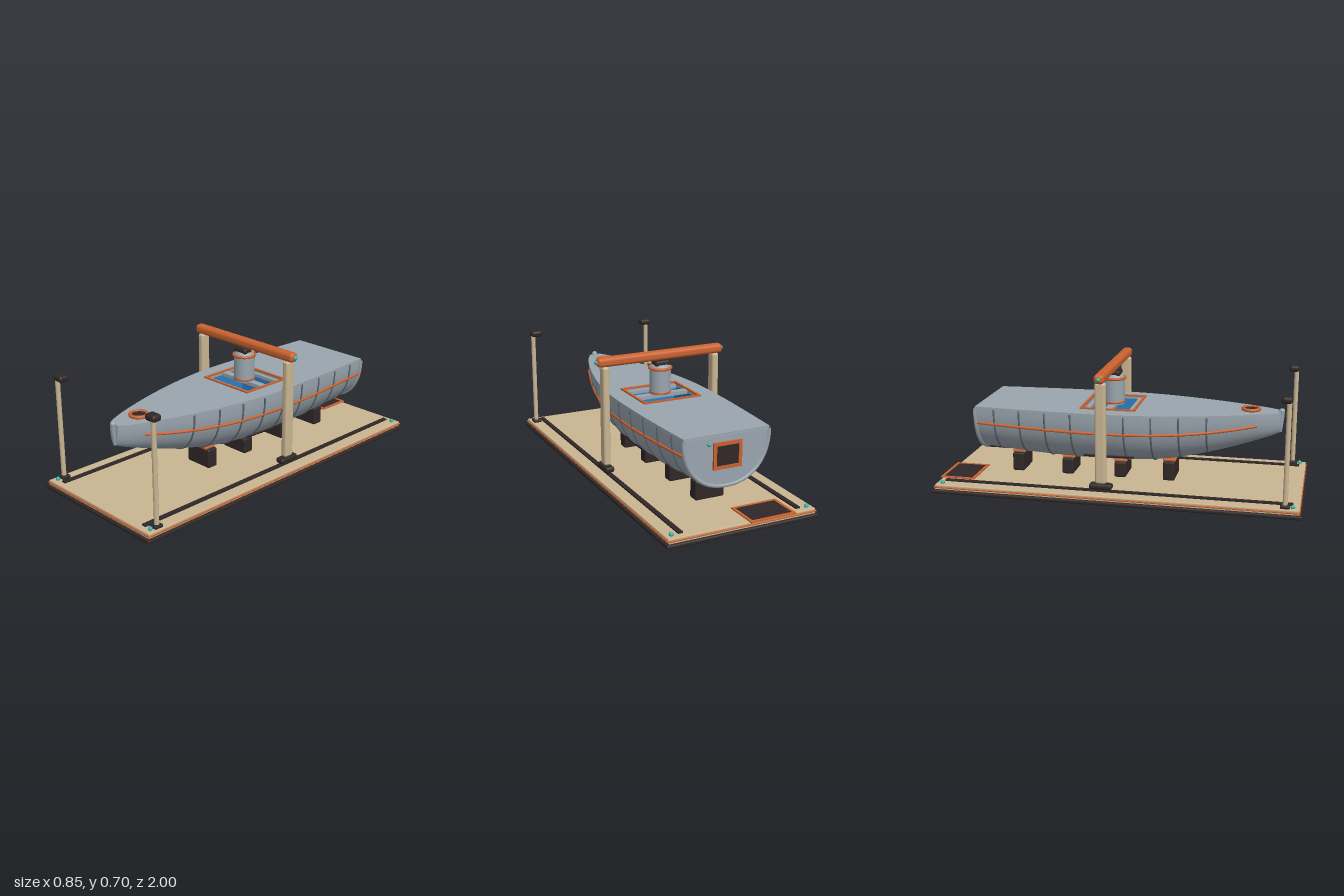
import * as THREE from 'three';
import { RoundedBoxGeometry } from 'three/addons/geometries/RoundedBoxGeometry.js';

const mat = (name, color, side = THREE.FrontSide) => {
  const m = new THREE.MeshStandardMaterial({ color, side });
  m.name = name;
  return m;
};

export function createModel() {
  const root = new THREE.Group();
  root.name = 'shipInDryDock';
  const grey = mat('hullGrey', 0x9aa5ae), slate = mat('ribSlate', 0x5c656d);
  const orange = mat('orange', 0xc9622f), beige = mat('beige', 0xc9b592);
  const dark = mat('charcoal', 0x302827), teal = mat('teal', 0x2fb3a6);
  const blue = mat('interiorBlue', 0x2f7fc0, THREE.DoubleSide);

  const add = (name, geo, m, x = 0, y = 0, z = 0) => {
    const mesh = new THREE.Mesh(geo, m);
    mesh.name = name;
    mesh.position.set(x, y, z);
    root.add(mesh);
    return mesh;
  };
  const box = (name, m, w, h, d, x, y, z) => add(name, new THREE.BoxGeometry(w, h, d), m, x, y, z);
  const rbox = (name, m, w, h, d, r, x, y, z) => add(name, new RoundedBoxGeometry(w, h, d, 3, r), m, x, y, z);
  const cyl = (name, m, r0, r1, h, x, y, z) => add(name, new THREE.CylinderGeometry(r1, r0, h, 32), m, x, y, z);
  const ball = (name, r, x, y, z, m = teal) => add(name, new THREE.SphereGeometry(r, 16, 12), m, x, y, z);
  const tube = (name, m, pts, r) => add(name, new THREE.TubeGeometry(new THREE.CatmullRomCurve3(pts), 48, r, 8), m);
  const rectPath = (p, w, d, cx = 0, cy = 0) => p.moveTo(cx - w / 2, cy - d / 2).lineTo(cx + w / 2, cy - d / 2)
    .lineTo(cx + w / 2, cy + d / 2).lineTo(cx - w / 2, cy + d / 2).closePath();
  // Flat rectangular frame lying on the ground plane, bottom at y
  const frame = (name, m, w, d, bar, h, x, y, z) => {
    const s = rectPath(new THREE.Shape(), w, d);
    s.holes.push(rectPath(new THREE.Path(), w - 2 * bar, d - 2 * bar));
    const geo = new THREE.ExtrudeGeometry(s, { depth: h, bevelEnabled: false }).rotateX(-Math.PI / 2);
    return add(name, geo, m, x, y, z);
  };

  // Dock base in layers
  rbox('baseSlab', dark, 0.85, 0.022, 2, 0.008, 0, 0.011, 0);
  box('baseLower', beige, 0.82, 0.01, 1.97, 0, 0.026, 0);
  rbox('baseStripe', orange, 0.835, 0.009, 1.98, 0.004, 0, 0.034, 0);
  rbox('baseTop', beige, 0.825, 0.012, 1.97, 0.004, 0, 0.042, 0);
  box('floorHatchPanel', dark, 0.23, 0.006, 0.17, -0.16, 0.05, -0.9);
  frame('floorHatchFrame', orange, 0.26, 0.195, 0.016, 0.007, -0.16, 0.047, -0.9);

  // Hull shape: half width and keel height along z
  const top = 0.445, stern = -0.8, bow = 0.85;
  const stations = [
    [-0.8, 0.24, 0.18], [-0.6, 0.252, 0.163], [-0.3, 0.264, 0.148], [0, 0.262, 0.147],
    [0.18, 0.242, 0.156], [0.33, 0.213, 0.18], [0.47, 0.178, 0.213], [0.6, 0.138, 0.25],
    [0.73, 0.092, 0.293], [0.81, 0.055, 0.322], [0.85, 0.03, 0.34],
  ];
  const spline = new THREE.CubicInterpolant(stations.map(s => s[0]), stations.flatMap(s => [s[1], s[2]]), 2, [0, 0]);
  const sectionAt = z => Array.from(spline.evaluate(z));
  const hullPoint = (z, a, grow = 0) => {
    const [w, k] = sectionAt(z), c = Math.cos(a), s = Math.max(0, Math.sin(a));
    return new THREE.Vector3(
      Math.sign(c) * (w + grow) * Math.abs(c) ** 0.9, top - (top - k + grow) * s ** 0.9, z);
  };
  const sideX = (z, y) => {
    const [w, k] = sectionAt(z), s = ((top - y) / (top - k)) ** (1 / 0.9);
    return w * (1 - s * s) ** 0.45;
  };

  // Hull skin
  const rows = 44, cols = 40, pos = [], index = [];
  for (let i = 0; i <= rows; i++)
    for (let j = 0; j <= cols; j++)
      pos.push(...hullPoint(stern + (bow - stern) * i / rows, Math.PI * j / cols).toArray());
  for (let i = 0; i < rows; i++)
    for (let j = 0; j < cols; j++) {
      const p = i * (cols + 1) + j, q = p + cols + 1;
      index.push(p, q, p + 1, q, q + 1, p + 1);
    }
  const skin = new THREE.BufferGeometry();
  skin.setAttribute('position', new THREE.Float32BufferAttribute(pos, 3));
  skin.setIndex(index);
  skin.computeVertexNormals();
  add('hull', skin, grey);

  // Transom and blunt bow cap
  const arc = (z, n = 40, grow = 0) => Array.from({ length: n + 1 }, (_, j) => hullPoint(z, Math.PI * j / n, grow));
  const endCap = z => new THREE.ExtrudeGeometry(
    new THREE.Shape(arc(z).map(p => new THREE.Vector2(p.x, p.y))), { depth: 0.006, bevelEnabled: false });
  add('transom', endCap(stern), grey, 0, 0, stern - 0.004);
  add('bowCap', endCap(bow), grey, 0, 0, bow - 0.003);
  tube('transomRim', grey, arc(stern), 0.011);

  // Deck with the engine well cut out
  const wellZ = -0.072, wellW = 0.316, wellD = 0.28;
  const outline = [];
  for (let i = 0; i <= 40; i++) {
    const z = stern + (bow - stern) * i / 40;
    outline.push(new THREE.Vector2(sectionAt(z)[0] + 0.001, -z));
  }
  const deckShape = new THREE.Shape([...outline, ...outline.slice().reverse().map(p => new THREE.Vector2(-p.x, p.y))]);
  deckShape.holes.push(rectPath(new THREE.Path(), wellW, wellD, 0, -wellZ));
  add('deck', new THREE.ExtrudeGeometry(deckShape, { depth: 0.014, bevelEnabled: false }).rotateX(-Math.PI / 2), grey, 0, 0.441, 0);

  // Engine well
  for (const s of [-1, 1]) {
    box('wellSideWall', blue, 0.004, 0.19, wellD, s * wellW / 2, 0.347, wellZ);
    box('wellEndWall', blue, wellW, 0.19, 0.004, 0, 0.347, wellZ + s * wellD / 2);
    box('wellCrossBar', grey, wellW, 0.018, 0.022, 0, 0.44, wellZ + s * 0.122);
  }
  box('wellFloor', grey, wellW, 0.008, wellD, 0, 0.252, wellZ);
  box('wellFloorPanel', dark, 0.22, 0.008, 0.18, 0, 0.258, wellZ);
  frame('wellFloorFrame', orange, 0.245, 0.205, 0.014, 0.014, 0, 0.254, wellZ);
  frame('wellCoaming', orange, 0.34, 0.305, 0.013, 0.009, 0, 0.454, wellZ);
  box('funnelSupport', grey, wellW, 0.02, 0.04, 0, 0.445, wellZ);

  // Funnel
  cyl('funnel', grey, 0.058, 0.058, 0.15, 0, 0.53, -0.068);
  cyl('funnelShoulder', grey, 0.057, 0.046, 0.018, 0, 0.613, -0.068);
  for (const [y, r] of [[0.467, 0.053], [0.6, 0.059]])
    add('funnelBand', new THREE.TorusGeometry(r, 0.008, 10, 32).rotateX(Math.PI / 2), orange, 0, y, -0.068);
  rbox('funnelCap', dark, 0.088, 0.034, 0.08, 0.014, 0, 0.629, -0.068);
  ball('hoistHook', 0.012, 0.065, 0.637, -0.07, beige);

  // Bow fittings
  add('bowHatchRing', new THREE.TorusGeometry(0.044, 0.01, 10, 32).rotateX(Math.PI / 2), orange, 0, 0.462, 0.69);
  cyl('bowHatch', dark, 0.042, 0.042, 0.01, 0, 0.46, 0.69);
  tube('stem', grey, [[0.345, 0.844], [0.39, 0.85], [0.46, 0.857]].map(([y, z]) => new THREE.Vector3(0, y, z)), 0.015);
  ball('stemHead', 0.016, 0, 0.457, 0.856, grey);

  // Hull ribs
  for (let i = 0; i < 9; i++) tube('hullRib', slate, arc(0.47 - i * 0.145, 24, 0.001), 0.005);

  // Rubbing strakes and bilge rails
  for (const s of [-1, 1]) {
    const strake = [[0.73, 0.39], [0.58, 0.37], [0.4, 0.354], [0.15, 0.345], [-0.2, 0.345], [-0.5, 0.352], [-0.79, 0.362]];
    tube('rubbingStrake', orange, strake.map(([z, y]) => new THREE.Vector3(s * (sideX(z, y) + 0.002), y, z)), 0.008);
    tube('bilgeRail', dark, [0.075, -0.02, -0.11, -0.205].map(z => new THREE.Vector3(s * (sideX(z, 0.195) + 0.003), 0.195, z)), 0.009);
  }

  // Stern hatch
  box('sternHatchPanel', dark, 0.13, 0.11, 0.01, 0, 0.343, -0.806);
  frame('sternHatchFrame', orange, 0.16, 0.14, 0.018, 0.013, 0, 0.343, -0.802).rotation.x = -Math.PI / 2;
  ball('sternLamp', 0.01, 0.105, 0.41, -0.81);

  // Keel blocks
  for (const z of [0.255, -0.02, -0.32, -0.61]) {
    const k = sectionAt(z)[1];
    rbox('keelBlock', dark, 0.168, k - 0.058, 0.066, 0.01, 0, (k + 0.036) / 2, z);
    rbox('keelPad', orange, 0.13, 0.016, 0.07, 0.006, 0, k - 0.007, z);
  }

  // Gantry
  const gz = -0.07;
  rbox('gantryBeam', orange, 0.75, 0.052, 0.056, 0.02, 0, 0.67, gz);
  for (const s of [-1, 1]) {
    box('craneRail', dark, 0.026, 0.01, 1.9, s * 0.33, 0.051, 0);
    rbox('gantryLeg', beige, 0.039, 0.555, 0.06, 0.014, s * 0.33, 0.37, gz);
    rbox('gantryFoot', dark, 0.052, 0.032, 0.125, 0.013, s * 0.33, 0.078, gz);
    for (const d of [-0.035, 0.035])
      add('gantryWheel', new THREE.CylinderGeometry(0.013, 0.013, 0.025, 16).rotateZ(Math.PI / 2), dark, s * 0.33, 0.062, gz + d);
    ball('beamLamp', 0.012, s * 0.376, 0.67, gz);

    // Floodlight masts and corner lamps
    cyl('mast', beige, 0.013, 0.013, 0.56, s * 0.381, 0.33, 0.91);
    rbox('mastFoot', dark, 0.05, 0.018, 0.05, 0.006, s * 0.378, 0.056, 0.91);
    rbox('mastLight', dark, 0.068, 0.036, 0.056, 0.015, s * 0.366, 0.617, 0.898);
    for (const z of [-0.95, 0.95]) ball('cornerLamp', 0.012, s * 0.38, 0.054, z);
  }
  return root;
}
